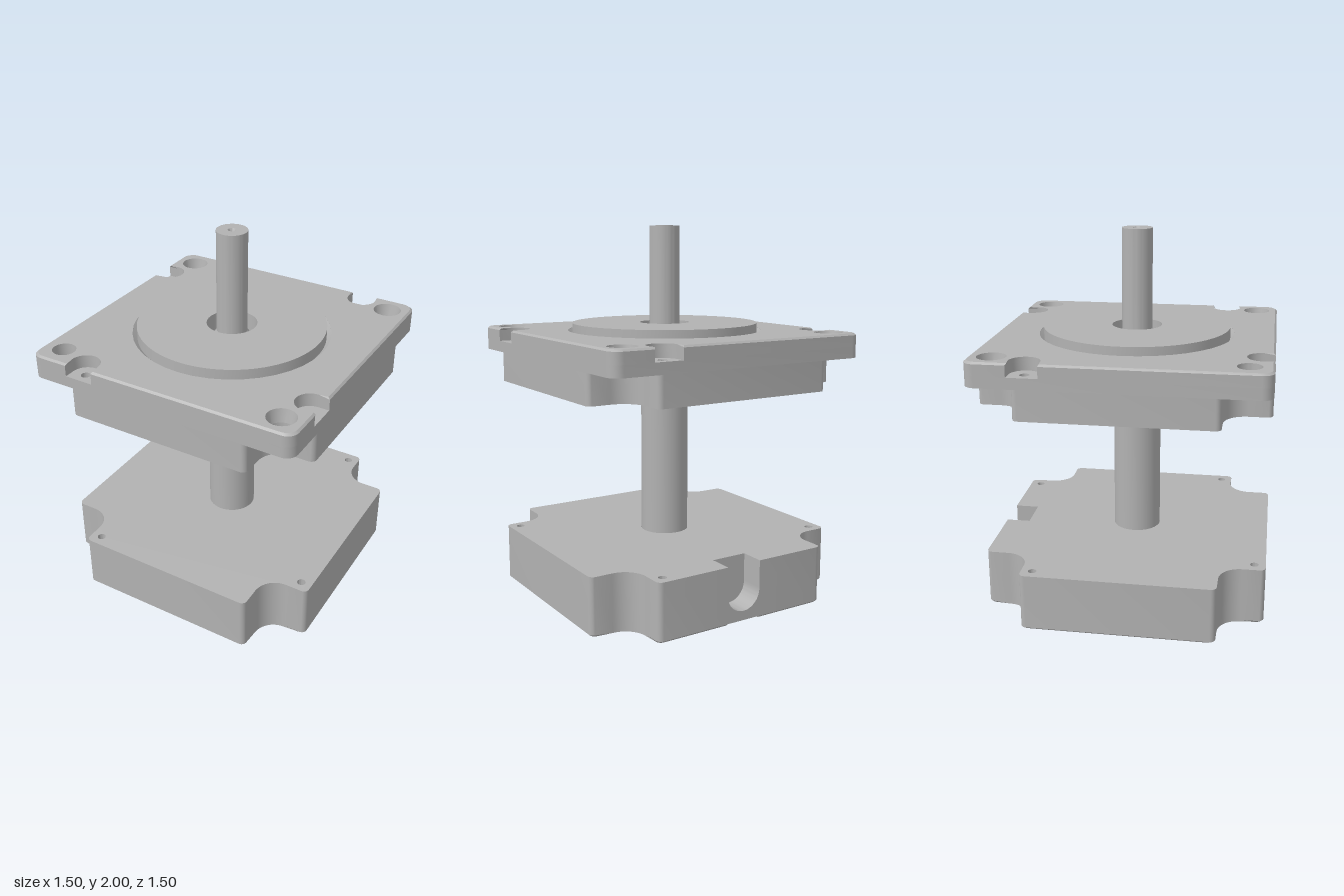
import * as THREE from 'three';
import { toCreasedNormals } from 'three/addons/utils/BufferGeometryUtils.js';

const HALF = 0.75;
const metal = new THREE.MeshStandardMaterial({ color: 0xb2b2b2, side: THREE.DoubleSide });
metal.name = 'grey metal';

// Points along an arc, angles in degrees
function arc(cx, cz, r, from, to, steps = 10) {
  return Array.from({ length: steps + 1 }, (_, i) => {
    const a = THREE.MathUtils.degToRad(from + ((to - from) * i) / steps);
    return [cx + r * Math.cos(a), cz + r * Math.sin(a)];
  });
}

// Quarter turns in the x-z plane
function turn([x, z], quarter) {
  for (let i = 0; i < quarter; i++) [x, z] = [-z, x];
  return [x, z];
}

// Closed outline from one side plus its corner, repeated four times
function outline(side) {
  const pts = [];
  for (let q = 0; q < 4; q++) for (const p of side(q)) pts.push(new THREE.Vector2(...turn(p, q)));
  return new THREE.Shape(pts);
}

const corner = arc(0.69, 0.69, 0.06, 0, 90);
const pocket = [[HALF, 0.37], ...arc(0.69, 0.45, 0.08, -90, -270, 20), [HALF, 0.53]];
const notch = [
  ...arc(0.72, 0.48, 0.03, 0, 90, 6),
  ...arc(0.63, 0.63, 0.12, -90, -180, 12),
  ...arc(0.48, 0.72, 0.03, 0, 90, 6),
];
const cableSlot = [[HALF, -0.1], [0.62, -0.1], [0.62, 0.1], [HALF, 0.1]];

function addHole(shape, x, z, r) {
  const path = new THREE.Path();
  path.absarc(x, z, r, 0, Math.PI * 2, true);
  shape.holes.push(path);
}
function addScrewHoles(shape, r) {
  for (let q = 0; q < 4; q++) addHole(shape, ...turn([0.69, 0.45], q), r);
}
// One mounting hole (quarter 1) is plain, the rest are countersunk
function addMountHoles(shape, r, plain = r) {
  for (let q = 0; q < 4; q++) addHole(shape, ...turn([0.63, 0.63], q), q === 1 ? plain : r);
}

// Horizontal slab between two heights; chamferY pulls in the outer rim at that height
function slab(name, shape, y0, y1, chamferY) {
  const geo = new THREE.ExtrudeGeometry(shape, { depth: y1 - y0, bevelEnabled: false, curveSegments: 20 });
  geo.rotateX(Math.PI / 2).translate(0, y1, 0);
  if (chamferY !== undefined) {
    const p = geo.attributes.position;
    for (let i = 0; i < p.count; i++) {
      const x = p.getX(i), z = p.getZ(i);
      if (Math.abs(p.getY(i) - chamferY) > 1e-4 || Math.max(Math.abs(x), Math.abs(z)) < 0.72) continue;
      p.setX(i, x * 0.986);
      p.setZ(i, z * 0.986);
    }
  }
  return part(name, geo);
}

function part(name, geo) {
  const mesh = new THREE.Mesh(toCreasedNormals(geo, 0.5), metal);
  mesh.name = name;
  return mesh;
}

function lathe(name, pts, segments = 64) {
  return part(name, new THREE.LatheGeometry(pts.map((p) => new THREE.Vector2(...p)), segments));
}

function createBase() {
  const group = new THREE.Group();
  group.name = 'base';
  const shape = outline((q) => (q === 3 ? [...cableSlot, ...notch] : notch));
  addScrewHoles(shape, 0.022);
  addHole(shape, 0, 0, 0.131);
  group.add(slab('baseRim', shape, 0, 0.01, 0), slab('baseBody', shape, 0.01, 0.31));

  // Rounded floor of the cable slot in the back face
  const floor = new THREE.Shape();
  floor.moveTo(-0.1, 0.01);
  floor.lineTo(0.1, 0.01);
  floor.lineTo(0.1, 0.16);
  floor.absarc(0, 0.16, 0.1, 0, -Math.PI, true);
  const geo = new THREE.ExtrudeGeometry(floor, { depth: 0.13, bevelEnabled: false, curveSegments: 20 });
  group.add(part('cableSlotFloor', geo.translate(0, 0, -HALF)));
  return group;
}

function createTop() {
  const group = new THREE.Group();
  group.name = 'topCover';

  // Notched body under the flange
  const body = outline(() => notch);
  addScrewHoles(body, 0.025);
  group.add(slab('coverBody', body, 1.15, 1.31));

  // Lower flange, forming the pocket floors
  const lower = outline(() => corner);
  addScrewHoles(lower, 0.025);
  addMountHoles(lower, 0.062);
  group.add(slab('lowerFlange', lower, 1.31, 1.37));

  // Upper flange with screw pockets and chamfered rim
  const upper = outline(() => [...pocket, ...corner]);
  addMountHoles(upper, 0.075, 0.062);
  addHole(upper, 0, 0, 0.53);
  group.add(slab('upperFlange', upper, 1.37, 1.43), slab('flangeRim', upper, 1.43, 1.44, 1.44));

  // Countersinks
  for (const q of [0, 2, 3]) {
    const sink = lathe('countersink', [[0.062, 1.37], [0.075, 1.44]], 40);
    const [x, z] = turn([0.63, 0.63], q);
    sink.position.set(x, 0, z);
    group.add(sink);
  }

  // Pilot boss with the groove around it and the shaft bore
  group.add(lathe('pilotBoss', [
    [0.135, 1.37], [0.135, 1.48], [0.505, 1.48], [0.505, 1.415], [0.53, 1.44],
  ], 96));
  return group;
}

export function createModel() {
  const model = new THREE.Group();
  model.name = 'motorHousing';
  model.add(createBase(), createTop());
  // Stepped shaft with a centre-drilled tip
  model.add(lathe('shaft', [
    [0, 0.2], [0.13, 0.2], [0.13, 1.36], [0.082, 1.44], [0.082, 2],
    [0.022, 2], [0.012, 1.98], [0.012, 1.95], [0, 1.95],
  ]));
  return model;
}
